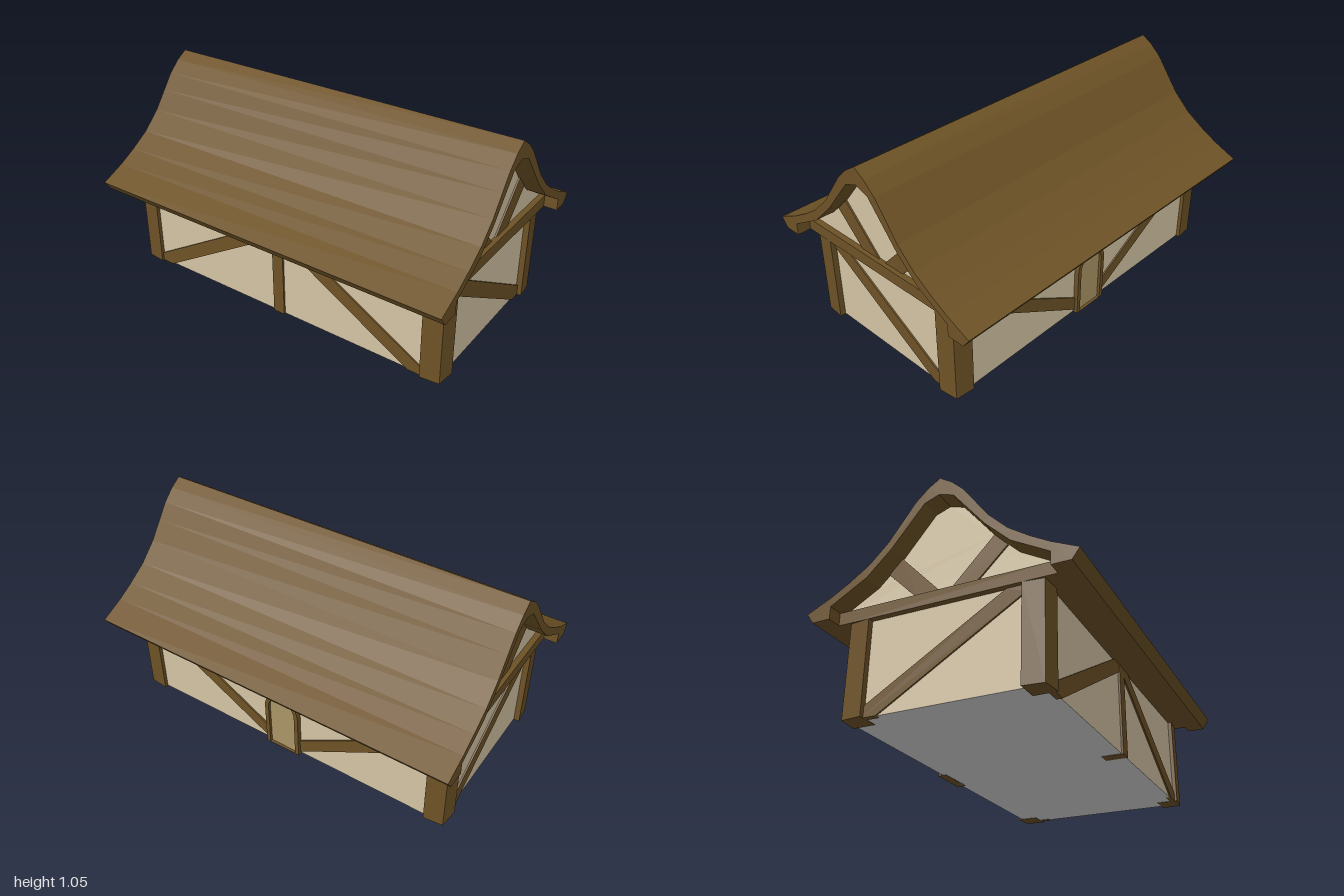
import * as THREE from 'three';

const wood = new THREE.MeshStandardMaterial({ color: 0x6d5226 });
const plaster = new THREE.MeshStandardMaterial({ color: 0xd4c4a4 });
const doorWood = new THREE.MeshStandardMaterial({ color: 0xaa9666 });
const stone = new THREE.MeshStandardMaterial({ color: 0xd4d4d4 });
wood.name = 'wood';
plaster.name = 'plaster';
doorWood.name = 'doorWood';
stone.name = 'stone';

const EAVE = 0.46, WALL_X = 0.9, WALL_Z = 0.46;

const toShape = (pts) => new THREE.Shape(pts.map(([x, y]) => new THREE.Vector2(x, y)));
const flip = (pts) => pts.map(([x, y]) => [-x, y]);
// Closes a half profile (ridge to eave) into a symmetric one
const mirrored = (half) => [...flip(half).reverse(), ...half.slice(1)];

export function createModel() {
  const house = new THREE.Group();
  house.name = 'timberHouse';

  const add = (name, geometry, material, parent = house) => {
    const mesh = new THREE.Mesh(geometry, material);
    mesh.name = name;
    parent.add(mesh);
    return mesh;
  };
  const prism = (shape, depth) =>
    new THREE.ExtrudeGeometry(shape, { depth, bevelEnabled: false, curveSegments: 8 });
  // Slab on a wall: u runs sideways, y up, thickness reaches from "from" to "to" outward
  const slab = (name, shape, angle, from, to, material = wood) =>
    add(name, prism(shape, to - from).translate(0, 0, from).rotateY(angle), material);

  // Plastered body with a pale underside
  const body = new THREE.BoxGeometry(2 * WALL_X, EAVE - 0.002, 2 * WALL_Z)
    .translate(0, EAVE / 2 + 0.001, 0);
  add('walls', body, [plaster, plaster, plaster, stone, plaster, plaster]);

  // Curved roof shell
  const outer = [[0, 1.049], [0.06, 1.01], [0.12, 0.953], [0.178, 0.874], [0.248, 0.779],
    [0.34, 0.688], [0.44, 0.62], [0.53, 0.568], [0.655, 0.509], [0.62, EAVE], [0.53, EAVE]];
  const inner = [[0, 0.961], [0.072, 0.936], [0.23, 0.742], [0.35, 0.625], [0.53, 0.522]];
  const shell = [...mirrored(outer), ...mirrored(inner).reverse()];
  add('roof', prism(toShape(shell), 2).translate(0, 0, -1).rotateY(Math.PI / 2), wood);

  // Gable filling under the roof
  add('gables', prism(toShape(mirrored(inner)), 2 * WALL_X)
    .translate(0, 0, -WALL_X).rotateY(Math.PI / 2), plaster);

  // Tie beams and soffit
  add('tieBeam', new THREE.BoxGeometry(1.86, 0.062, 1.06).translate(0, EAVE + 0.031, 0), wood);

  // Corner posts, slightly pulled in at the outer corner
  for (const sx of [-1, 1]) {
    for (const sz of [-1, 1]) {
      const foot = [[0.82, 0.37], [0.93, 0.37], [0.92, 0.47], [0.82, 0.48]]
        .map(([x, z]) => [x * sx, -z * sz]);
      add('cornerPost', prism(toShape(foot), EAVE).rotateX(-Math.PI / 2), wood);
    }
  }

  // Front framing
  add('frontPost', new THREE.BoxGeometry(0.064, EAVE, 0.11).translate(0, EAVE / 2, 0.415), wood);
  const frontBrace = [[-0.83, 0], [-0.75, 0], [-0.03, 0.42], [-0.03, EAVE], [-0.1, EAVE], [-0.83, 0.04]];
  // Back framing, sloping down towards the door
  const backBrace = [[-0.83, EAVE], [-0.83, 0.425], [-0.09, 0.01], [-0.09, 0.085], [-0.75, EAVE]];
  for (const pts of [frontBrace, flip(frontBrace)]) {
    slab('frontBrace', toShape(pts), 0, WALL_Z - 0.02, WALL_Z + 0.008);
  }
  for (const pts of [backBrace, flip(backBrace)]) {
    slab('backBrace', toShape(pts), Math.PI, WALL_Z - 0.02, WALL_Z + 0.008);
  }
  add('backPost', new THREE.BoxGeometry(0.06, 0.14, 0.03).translate(0, 0.39, -0.454), wood);

  // End framing: one long brace below, two short ones in the gable
  const endBrace = [[-0.38, EAVE], [-0.38, 0.425], [0.31, 0], [0.38, 0], [0.38, 0.05], [-0.29, EAVE]];
  const gableBrace = [[0.01, 0.51], [0.13, 0.51], [0.295, 0.675], [0.23, 0.742]];
  for (const side of [1, -1]) {
    const angle = side * Math.PI / 2;
    slab('endBrace', toShape(side > 0 ? endBrace : flip(endBrace)), angle, WALL_X - 0.02, WALL_X + 0.008);
    for (const pts of [gableBrace, flip(gableBrace)]) {
      slab('gableBrace', toShape(pts), angle, WALL_X - 0.02, WALL_X + 0.008);
    }
  }

  // Arched back door inside its frame
  const arch = (Target, r, top) => {
    const s = new Target();
    s.moveTo(-r, 0);
    s.lineTo(r, 0);
    s.lineTo(r, top - r);
    s.absarc(0, top - r, r, 0, Math.PI, false);
    s.closePath();
    return s;
  };
  const frame = arch(THREE.Shape, 0.1, 0.35);
  frame.holes.push(arch(THREE.Path, 0.078, 0.328).translate?.() ?? doorHole());
  function doorHole() {
    const h = new THREE.Path();
    h.moveTo(-0.078, 0.002);
    h.lineTo(0.078, 0.002);
    h.lineTo(0.078, 0.25);
    h.absarc(0, 0.25, 0.078, 0, Math.PI, false);
    h.closePath();
    return h;
  }
  slab('doorFrame', frame, Math.PI, WALL_Z - 0.02, WALL_Z + 0.025);
  slab('door', arch(THREE.Shape, 0.08, 0.33), Math.PI, WALL_Z - 0.02, WALL_Z + 0.01, doorWood);

  return house;
}
